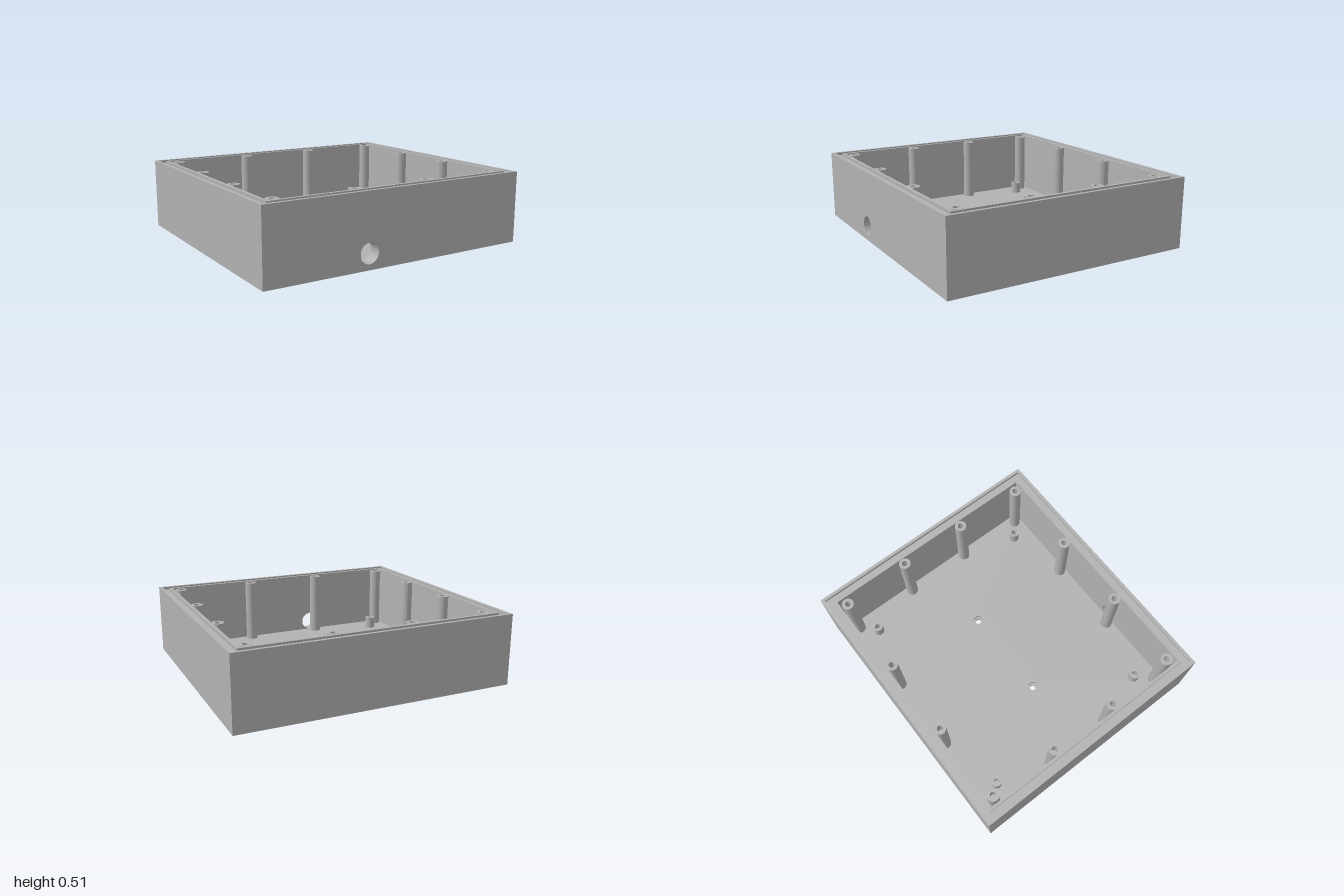
import * as THREE from 'three';
import { toCreasedNormals } from 'three/addons/utils/BufferGeometryUtils.js';

// Half sizes of the box and its main levels
const HX = 1, HZ = 0.905, TOP = 0.51, FLOOR = 0.04, GROOVE = 0.49;
const WALL = 0.087;

const rectPoints = (hx, hz) => [[-hx, -hz], [hx, -hz], [hx, hz], [-hx, hz]].map(([x, y]) => new THREE.Vector2(x, y));

function circleHole(x, y, r) {
  const path = new THREE.Path();
  path.absarc(x, y, r, 0, Math.PI * 2, true);
  return path;
}

export function createModel() {
  const group = new THREE.Group();
  const grey = new THREE.MeshStandardMaterial({ color: 0xb2b2b2 });
  grey.name = 'grey plastic';

  const add = (name, geometry) => {
    const mesh = new THREE.Mesh(toCreasedNormals(geometry, 0.6), grey);
    mesh.name = name;
    group.add(mesh);
    return mesh;
  };

  // Extrudes a plan shape (shape y = -z) upward between two heights
  const slab = (name, shape, y0, y1) => {
    const geo = new THREE.ExtrudeGeometry(shape, { depth: y1 - y0, bevelEnabled: false, curveSegments: 16 });
    return add(name, geo.rotateX(-Math.PI / 2).translate(0, y0, 0));
  };

  // Floor with two counterbored screw holes
  const floorLayer = (name, r, y0, y1) => {
    const shape = new THREE.Shape(rectPoints(HX - WALL, HZ - WALL));
    for (const x of [-0.345, 0.34]) shape.holes.push(circleHole(x, 0, r));
    slab(name, shape, y0, y1);
  };
  floorLayer('lowerFloor', 0.021, 0, 0.02);
  floorLayer('upperFloor', 0.037, 0.02, FLOOR);

  // Back and side walls as one U in plan
  const ix = HX - WALL, iz = HZ - WALL;
  const u = [[-HX, -iz], [-ix, -iz], [-ix, iz], [ix, iz], [ix, -iz], [HX, -iz], [HX, HZ], [-HX, HZ]];
  slab('backAndSideWalls', new THREE.Shape(u.map(([x, y]) => new THREE.Vector2(x, y))), 0, GROOVE);

  // Front wall with the round cable opening
  const front = new THREE.Shape([[-HX, 0], [HX, 0], [HX, GROOVE], [-HX, GROOVE]].map(([x, y]) => new THREE.Vector2(x, y)));
  front.holes.push(circleHole(-0.255, 0.11, 0.07));
  const frontGeo = new THREE.ExtrudeGeometry(front, { depth: WALL, bevelEnabled: false, curveSegments: 32 });
  add('frontWall', frontGeo.translate(0, 0, iz));

  // Two lips with the seal groove between them
  const lip = (name, outer, inner) => {
    const shape = new THREE.Shape(rectPoints(HX - outer, HZ - outer));
    shape.holes.push(new THREE.Path(rectPoints(HX - inner, HZ - inner).reverse()));
    slab(name, shape, GROOVE, TOP);
  };
  lip('outerLip', 0, 0.023);
  lip('innerLip', 0.065, WALL);

  // Hollow screw posts
  const post = (name, x, z, r, bore, top, depth) => {
    const profile = [[r, FLOOR - 0.01], [r, top], [bore, top], [bore, top - depth], [0, top - depth]];
    const geo = new THREE.LatheGeometry(profile.map(([a, b]) => new THREE.Vector2(a, b)), 32);
    add(name, geo).position.set(x, 0, z);
  };
  for (const sx of [-1, 1]) {
    for (const sz of [-1, 1]) {
      post('cornerPost', sx * 0.858, sz * 0.765, 0.043, 0.021, 0.506, 0.12);
      post('longWallPost', sx * 0.286, sz * 0.778, 0.043, 0.021, 0.506, 0.12);
      post('sideWallPost', sx * 0.872, sz * 0.255, 0.043, 0.021, 0.506, 0.12);
    }
  }

  // Short board standoffs
  for (const [x, z] of [[-0.752, -0.66], [0.745, -0.66], [-0.752, 0.65], [0.745, 0.672]]) {
    post('standoff', x, z, 0.037, 0.02, 0.126, 0.07);
  }
  return group;
}
